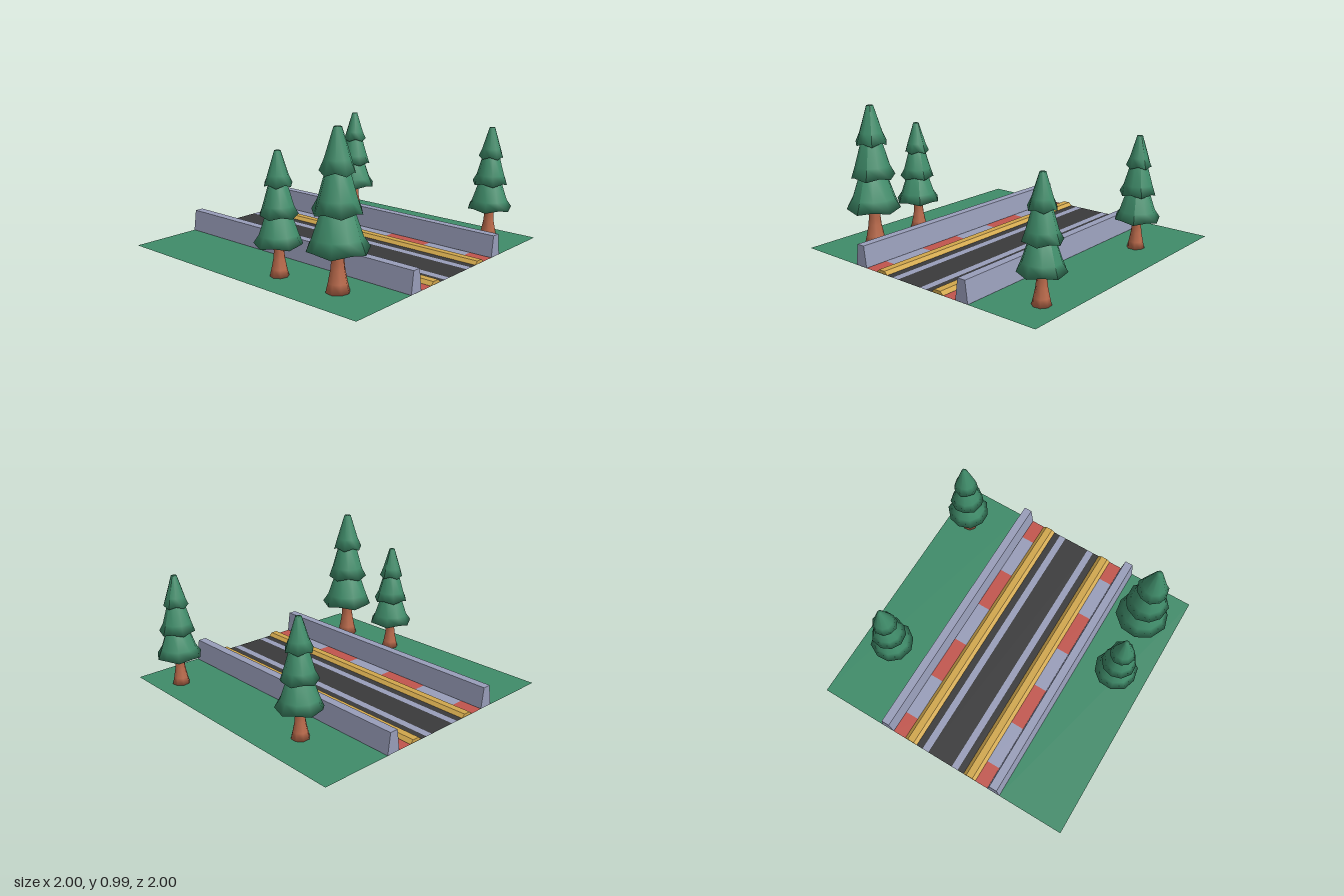
import * as THREE from 'three';

const mat = (name, color, side = THREE.FrontSide) => {
  const m = new THREE.MeshStandardMaterial({ color, side });
  m.name = name;
  return m;
};

export function createModel() {
  const model = new THREE.Group();
  model.name = 'roadTile';
  const D = THREE.DoubleSide;
  const green = mat('green', 0x3f8b69, D);
  const asphalt = mat('asphalt', 0x3a3a3b, D);
  const grey = mat('greyPaint', 0x989db9, D);
  const red = mat('kerbRed', 0xc1554d, D);
  const yellow = mat('yellow', 0xd0a64c, D);
  const bark = mat('bark', 0xba6a4b, D);

  const add = (parent, name, geometry, material) => {
    const mesh = new THREE.Mesh(geometry, material);
    mesh.name = name;
    parent.add(mesh);
    return mesh;
  };

  // Flat ground strips laid edge to edge
  const strip = (name, x0, x1, material, z0 = -1, z1 = 1) => {
    const g = new THREE.PlaneGeometry(x1 - x0, z1 - z0).rotateX(-Math.PI / 2);
    g.translate((x0 + x1) / 2, 0.002, (z0 + z1) / 2);
    add(model, name, g, material);
  };

  // Trapezoid rail running the length of the tile
  const rail = (name, x, baseHalf, topHalf, height, material) => {
    const s = new THREE.Shape([
      new THREE.Vector2(-baseHalf, 0.003), new THREE.Vector2(baseHalf, 0.003),
      new THREE.Vector2(topHalf, height), new THREE.Vector2(-topHalf, height),
    ]);
    const g = new THREE.ExtrudeGeometry(s, { depth: 2, bevelEnabled: false });
    add(model, name, g.translate(x, 0, -1), material);
  };

  strip('roadCentre', -0.1, 0.1, asphalt);
  const kerbCuts = [-1, -5 / 6, -0.5, -1 / 6, 1 / 6, 0.5, 5 / 6, 1];
  for (const s of [-1, 1]) {
    const side = (name, a, b, m, z0, z1) =>
      strip(name, Math.min(s * a, s * b), Math.max(s * a, s * b), m, z0, z1);
    side('laneLine', 0.1, 0.15, grey);
    side('roadEdge', 0.15, 0.3, asphalt);
    for (let i = 0; i < kerbCuts.length - 1; i++) {
      side('kerbBlock', 0.3, 0.4, i % 2 ? grey : red, kerbCuts[i], kerbCuts[i + 1]);
    }
    side('barrierBed', 0.4, 0.5, asphalt);
    side('grass', 0.5, 1, green);
    rail('yellowRail', s * 0.25, 0.05, 0.025, 0.025, yellow);
    rail('barrier', s * 0.45, 0.05, 0.03, 0.15, grey);
  }

  // One skirt of branches: flared cone with a zigzag hem and a hollowed underside
  const tier = (y0, y1, rimR, midR, topR) => {
    const pts = [
      [0.035, y0 + 0.03], [rimR, y0], [midR, y0 + (y1 - y0) * 0.32], [topR, y1], [0, y1],
    ].map(([r, y]) => new THREE.Vector2(r, y));
    const g = new THREE.LatheGeometry(pts, 10);
    const p = g.attributes.position;
    for (let i = 0; i < p.count; i++) {
      if (i % pts.length !== 1) continue;
      const odd = Math.floor(i / pts.length) % 2;
      const k = odd ? 1.02 : 0.98;
      p.setXYZ(i, p.getX(i) * k, p.getY(i) + (odd ? 0.018 : -0.002), p.getZ(i) * k);
    }
    g.computeVertexNormals();
    return g;
  };
  const tiers = [
    tier(0.207, 0.42, 0.155, 0.124, 0.075),
    tier(0.39, 0.61, 0.123, 0.097, 0.055),
    tier(0.58, 0.8, 0.088, 0.066, 0.02),
  ];
  const trunk = new THREE.LatheGeometry(
    [[0, 0], [0.062, 0], [0.05, 0.05], [0.037, 0.115], [0.033, 0.16], [0.036, 0.26]]
      .map(([r, y]) => new THREE.Vector2(r, y)), 8);

  // Trees: x, z, scale, turn
  const trees = [
    [-0.735, 0.635, 1.24, 0.2], [-0.77, 0.18, 1, 0.9],
    [0.73, -0.475, 1, 0.4], [0.825, 0.72, 1, 1.3],
  ];
  for (const [x, z, scale, turn] of trees) {
    const tree = new THREE.Group();
    tree.name = 'tree';
    add(tree, 'trunk', trunk, bark);
    tiers.forEach((g, i) => { add(tree, 'branches', g, green).rotation.y = i * 0.35; });
    tree.position.set(x, 0, z);
    tree.scale.setScalar(scale);
    tree.rotation.y = turn;
    model.add(tree);
  }
  return model;
}
